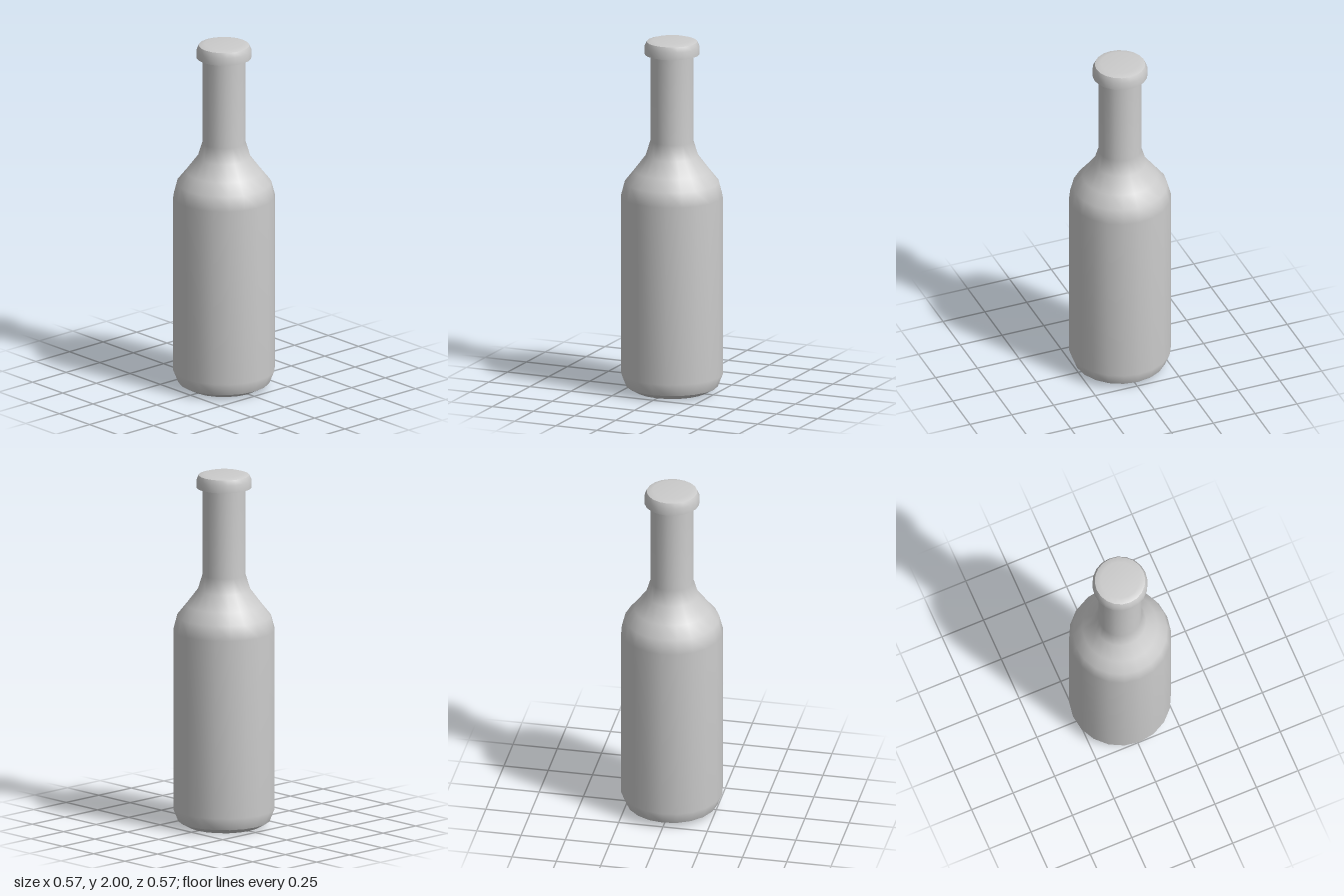
import * as THREE from 'three';

const SIDES = 20;

export function createModel() {
  const model = new THREE.Group();
  const material = new THREE.MeshStandardMaterial({ color: 0xcccccc });

  // Each part is a [radius, height] profile, split where the surface creases
  const addLathe = (name, profile) => {
    const points = profile.map(([r, y]) => new THREE.Vector2(r, y));
    const mesh = new THREE.Mesh(new THREE.LatheGeometry(points, SIDES), material);
    mesh.name = name;
    model.add(mesh);
  };

  // Base with a bevelled rim
  addLathe('base', [[0, 0], [0.2, 0], [0.255, 0.03]]);

  // Body, shoulder and neck in one smooth sweep
  addLathe('bodyAndNeck', [
    [0.255, 0.03], [0.283, 0.1], [0.283, 1.11], [0.262, 1.19],
    [0.21, 1.255], [0.146, 1.34], [0.12, 1.425], [0.12, 1.92],
  ]);

  // Cap: flat underside, rounded side, slightly raised top
  addLathe('capUnderside', [[0.12, 1.92], [0.153, 1.92]]);
  addLathe('capSide', [[0.153, 1.92], [0.153, 1.962], [0.14, 1.99]]);
  addLathe('capTop', [[0.14, 1.99], [0.107, 2], [0, 2]]);

  return model;
}
